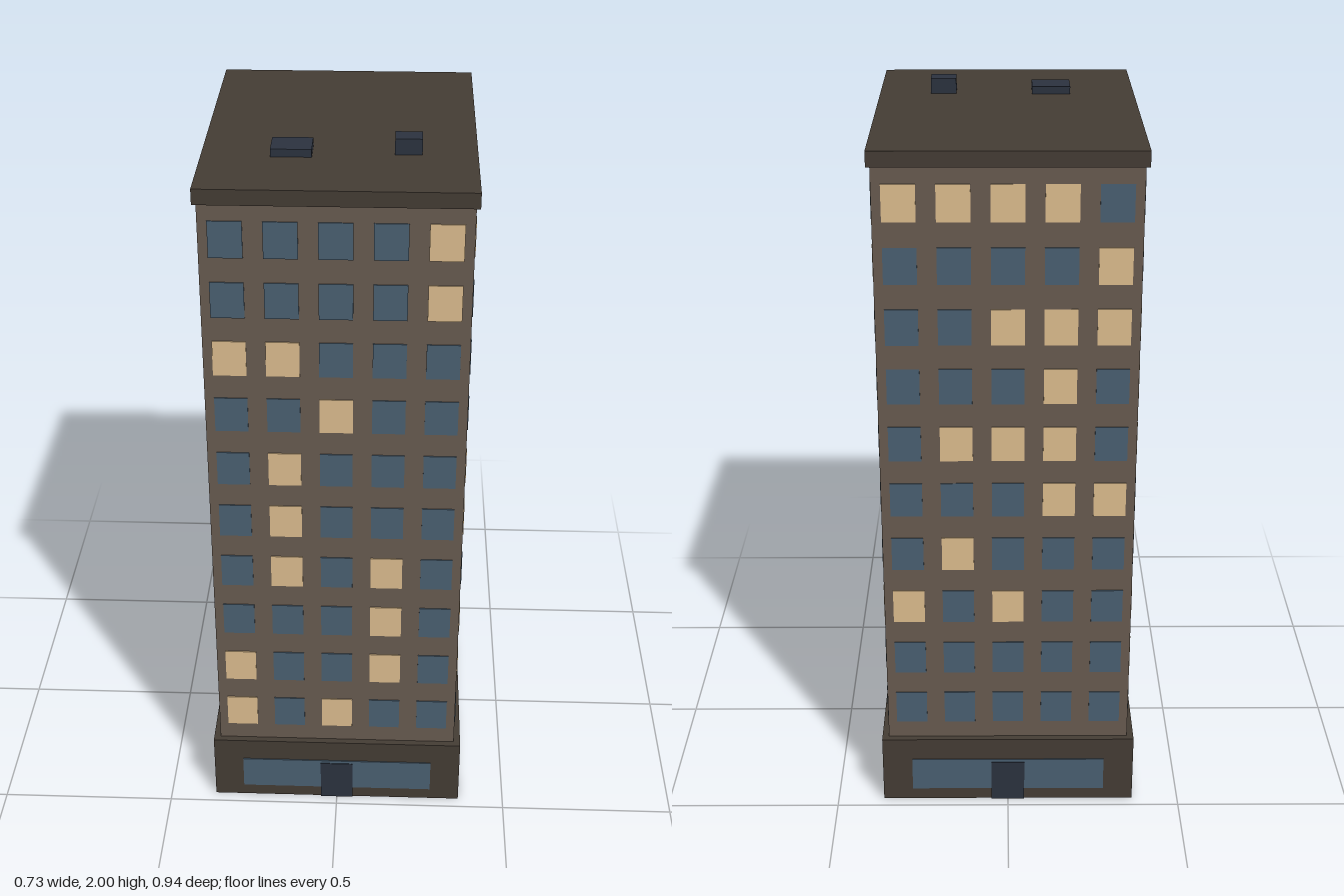
import * as THREE from 'three';
import { mergeGeometries } from 'three/addons/utils/BufferGeometryUtils.js';

const mat = (color) => new THREE.MeshStandardMaterial({ color });

// Lit window columns for each floor, top floor first, counted from the left as seen from outside
const FRONT = ['4', '4', '01', '2', '1', '1', '13', '3', '03', '02'];
const RIGHT = ['03', '5', '1', '3', '0', '0', '', '045', '02', '34'];
const BACK = ['0123', '4', '234', '3', '123', '34', '1', '02', '', ''];
const LEFT = ['45', '1', '015', '0', '04', '14', '', '0', '03', '1'];

export function createModel() {
  const model = new THREE.Group();
  model.name = 'apartmentTower';

  const wall = mat(0x695c51);
  const trim = mat(0x453d35);
  const glass = mat(0x4b6173);
  const litGlass = mat(0xdfbf90);
  const dark = mat(0x2c3340);

  // Box placed by its centre in x and z and its bottom in y
  function box(name, material, w, h, d, x, y, z) {
    const mesh = new THREE.Mesh(new THREE.BoxGeometry(w, h, d), material);
    mesh.name = name;
    mesh.position.set(x, y + h / 2, z);
    model.add(mesh);
  }

  // Main masses
  box('base', trim, 0.732, 0.207, 0.932, 0, 0, 0);
  box('tower', wall, 0.694, 1.71, 0.894, 0, 0.206, 0);
  box('roofSlab', trim, 0.714, 0.042, 0.912, 0, 1.915, 0);

  // Rooftop units
  box('roofHatch', dark, 0.107, 0.022, 0.088, -0.124, 1.956, 0.189);
  box('roofVent', dark, 0.071, 0.044, 0.056, 0.178, 1.956, 0.179);

  // Lobby glazing and doors on both ends
  for (const [end, s] of [['front', 1], ['back', -1]]) {
    box(end + 'LobbyGlass', glass, 0.56, 0.102, 0.008, 0, 0.037, s * 0.465);
    box(end + 'Door', dark, 0.096, 0.129, 0.012, 0, 0.001, s * 0.465);
  }

  // Window grid for one wall, turned to face outwards
  function facade(name, pattern, columns, pitch, width, distance, angle) {
    const group = new THREE.Group();
    group.name = name;
    group.rotation.y = angle;
    const panes = { dark: [], lit: [] };
    pattern.forEach((litColumns, row) => {
      for (let c = 0; c < columns; c++) {
        const pane = new THREE.BoxGeometry(width, 0.1, 0.006);
        pane.translate((c - (columns - 1) / 2) * pitch, 1.82 - row * 0.1678, distance);
        panes[litColumns.includes(c) ? 'lit' : 'dark'].push(pane);
      }
    });
    const unlit = new THREE.Mesh(mergeGeometries(panes.dark), glass);
    unlit.name = 'darkWindows';
    const lit = new THREE.Mesh(mergeGeometries(panes.lit), litGlass);
    lit.name = 'litWindows';
    group.add(unlit, lit);
    model.add(group);
  }
  facade('frontWindows', FRONT, 5, 0.139, 0.088, 0.447, 0);
  facade('backWindows', BACK, 5, 0.139, 0.088, 0.447, Math.PI);
  facade('leftSideWindows', RIGHT, 6, 0.149, 0.094, 0.347, Math.PI / 2);
  facade('rightSideWindows', LEFT, 6, 0.149, 0.094, 0.347, -Math.PI / 2);

  return model;
}
